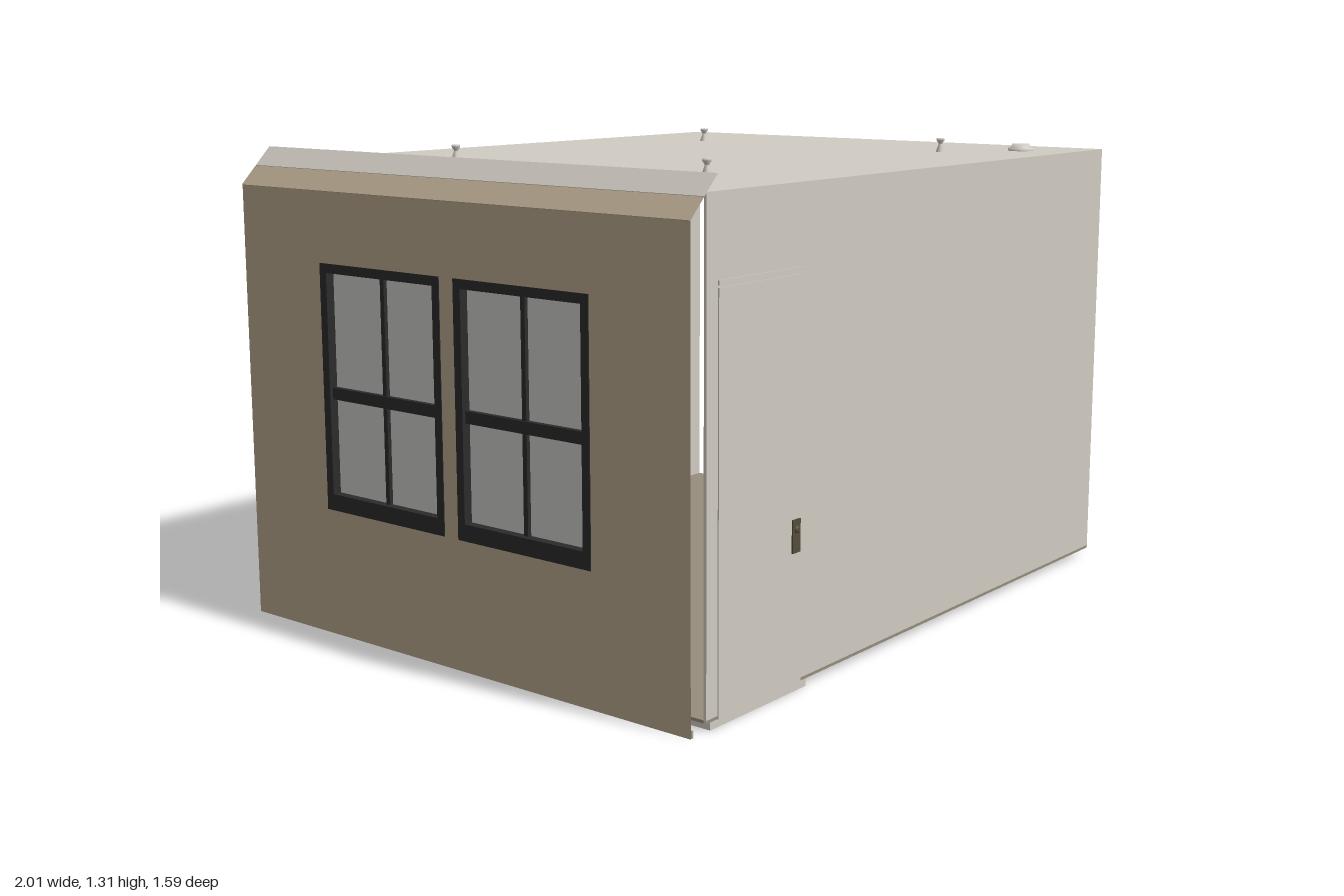
import * as THREE from 'three';

const mat = (name, color) => {
  const m = new THREE.MeshStandardMaterial({ color, side: THREE.DoubleSide });
  m.name = name;
  return m;
};

export function createModel() {
  const room = new THREE.Group();
  room.name = 'room';
  const wallPaint = mat('wall paint', 0xd0cbc2);
  const tan = mat('tan siding', 0xb5a58d);
  const black = mat('black window frame', 0x2b2b2b);
  const glass = mat('window glass', 0xc9cac6);
  const wood = mat('floor wood', 0x978d7e);
  const rugGrey = mat('rug grey', 0xadada6);
  const bronze = mat('bronze hardware', 0x544c3c);

  // Box given by its two opposite corners
  const box = (name, m, x0, x1, y0, y1, z0, z1, parent = room) => {
    const mesh = new THREE.Mesh(new THREE.BoxGeometry(x1 - x0, y1 - y0, z1 - z0), m);
    mesh.position.set((x0 + x1) / 2, (y0 + y1) / 2, (z0 + z1) / 2);
    mesh.name = name;
    parent.add(mesh);
    return mesh;
  };

  // Shell: ceiling, floor, rug and the plain walls
  const T = 0.008, LO = 0.02, HI = 1.27, F = 0.78, B = -0.785, R = -0.735;
  box('ceiling', wallPaint, -0.94, 1, HI - T, HI, B, F);
  box('floor', wood, -0.94, 1, LO, LO + T, B, F);
  box('rug', rugGrey, -0.33, 0.65, LO - 0.004, LO, -0.64, 0.31);
  box('frontWall', wallPaint, -0.94, 1, LO, HI, F - T, F);
  box('rightWall', wallPaint, 1 - T, 1, LO, HI, R, 0.74);

  // Back wall with a shallow vertical recess
  box('backWallWide', wallPaint, -0.94, 0.17, LO, HI, B, B + T);
  box('backWallNarrow', wallPaint, 0.55, 1, LO, HI, B, B + T);
  box('backRecess', wallPaint, 0.17, 0.55, LO, HI, R, R + T);
  box('recessSide', wallPaint, 0.17 - T, 0.17, LO, HI, B, R + T);
  box('recessSide', wallPaint, 0.55, 0.55 + T, LO, HI, B, R + T);
  box('pilaster', wallPaint, 0.48, 0.55, LO, HI, R - 0.02, R);
  for (const y of [0.1, 0.4, 0.44, 1.2])
    box('pilasterBand', wallPaint, 0.47, 0.55, y, y + 0.02, R - 0.032, R);

  // Mouldings on the back wall
  const molding = (x0, x1, y0, y1) => box('molding', wallPaint, x0, x1, y0, y1, B - 0.005, B);
  const panel = (x0, x1, y0, y1, w = 0.012) => {
    molding(x0, x1, y0, y0 + w);
    molding(x0, x1, y1 - w, y1);
    molding(x0, x0 + w, y0 + w, y1 - w);
    molding(x1 - w, x1, y0 + w, y1 - w);
  };
  molding(-0.53, 0.14, 0.42, 0.455);
  molding(-0.53, 0.14, 0.06, 0.085);
  molding(-0.93, 0.16, 1.215, 1.235);
  panel(-0.46, 0.07, 0.53, 1.14);
  panel(-0.46, 0.07, 0.13, 0.37);

  // Door lying in the local xy plane, facing +z, hinge on the left
  const door = (name, w, x, z, rot, handleSide, framed) => {
    const g = new THREE.Group();
    g.name = name;
    const h = w / 2;
    box('doorLeaf', wallPaint, -h, h, LO, 1.05, 0, 0.003, g);
    box('doorHead', wallPaint, -h, h, 1.055, 1.067, 0, 0.003, g);
    if (framed) {
      for (const s of [-1, 1])
        box('doorJamb', wallPaint, s * (h + 0.012) - 0.01, s * (h + 0.012) + 0.01, LO, 1.067, 0, 0.006, g);
      for (const y of [0.1, 0.45, 0.58, 0.95])
        box('doorRail', wallPaint, -h + 0.06, h - 0.06, y, y + 0.008, 0.003, 0.005, g);
    }
    const c = handleSide * (h - 0.027);
    box('handlePlate', bronze, c - 0.016, c + 0.016, 0.36, 0.445, 0.003, 0.007, g);
    const knob = new THREE.Mesh(new THREE.SphereGeometry(0.01, 12, 8), bronze);
    knob.position.set(c, 0.42, 0.008);
    knob.scale.z = 0.5;
    knob.name = 'knob';
    g.add(knob);
    g.position.set(x, 0, z);
    g.rotation.y = rot;
    room.add(g);
  };
  door('frontDoor', 0.335, -0.73, F, 0, 1, false);
  door('rightDoor', 0.355, 0.997, 0.532, Math.PI / 2, 1, false);
  door('backDoor', 0.34, -0.733, B, Math.PI, -1, true);
  box('threshold', wallPaint, -0.925, -0.535, 0, LO, F - 0.06, F);

  // Window wall: a sheet with two openings
  const rect = (P, z0, z1, y0, y1) => {
    const p = new P();
    p.moveTo(z0, y0).lineTo(z1, y0).lineTo(z1, y1).lineTo(z0, y1).closePath();
    return p;
  };
  const spans = [[-0.475, -0.025], [0.025, 0.475]];
  const Y0 = 0.35, Y1 = 1.02, YM = 0.67;
  const sheet = rect(THREE.Shape, B, F, 0, 1.21);
  for (const [a, b] of spans) sheet.holes.push(rect(THREE.Path, a, b, Y0, Y1));
  const wall = new THREE.Mesh(new THREE.ShapeGeometry(sheet), tan);
  wall.rotation.y = -Math.PI / 2;
  wall.position.x = -0.998;
  wall.name = 'windowWall';
  room.add(wall);
  box('skirting', wallPaint, -0.992, -0.988, 0, LO, B, F);

  // Double-hung windows
  for (const [a, b] of spans) {
    const g = new THREE.Group();
    g.name = 'window';
    const f = 0.025, mid = (a + b) / 2;
    box('frameSide', black, -1, -0.94, Y0, Y1, a, a + f, g);
    box('frameSide', black, -1, -0.94, Y0, Y1, b - f, b, g);
    box('frameTop', black, -1, -0.94, Y1 - f, Y1, a + f, b - f, g);
    box('frameSill', black, -1, -0.94, Y0, Y0 + 0.045, a + f, b - f, g);
    box('meetingRail', black, -0.99, -0.955, YM - 0.016, YM + 0.016, a + f, b - f, g);
    box('mullion', black, -0.986, -0.96, Y0 + 0.045, Y1 - f, mid - 0.007, mid + 0.007, g);
    box('pane', glass, -0.975, -0.97, Y0 + 0.045, Y1 - f, a + f, b - f, g);
    room.add(g);
  }

  // Sloping cornice above the window wall, in two bands
  [['corniceLower', tan, -0.975, 1.235], ['corniceUpper', wallPaint, -0.925, 1.285]].forEach(([n, m, x, y]) => {
    const c = box(n, m, -0.0345, 0.0345, -0.001, 0.001, B, F);
    c.position.set(x, y, (B + F) / 2);
    c.rotation.z = Math.PI / 4;
  });

  // Small ceiling fittings and a round detector
  const lathe = (name, pts, x, z) => {
    const m = new THREE.Mesh(new THREE.LatheGeometry(pts.map(p => new THREE.Vector2(...p)), 20), wallPaint);
    m.position.set(x, HI, z);
    m.name = name;
    room.add(m);
  };
  for (const x of [-0.535, 0.585])
    for (const z of [-0.43, 0.462])
      lathe('ceilingFitting', [[0.013, 0], [0.006, 0.022], [0.006, 0.025], [0.012, 0.034], [0.012, 0.04], [0, 0.04]], x, z);
  lathe('detector', [[0.038, 0], [0.038, 0.008], [0.028, 0.01], [0.026, 0.02], [0, 0.02]], 0.785, 0.62);

  return room;
}
